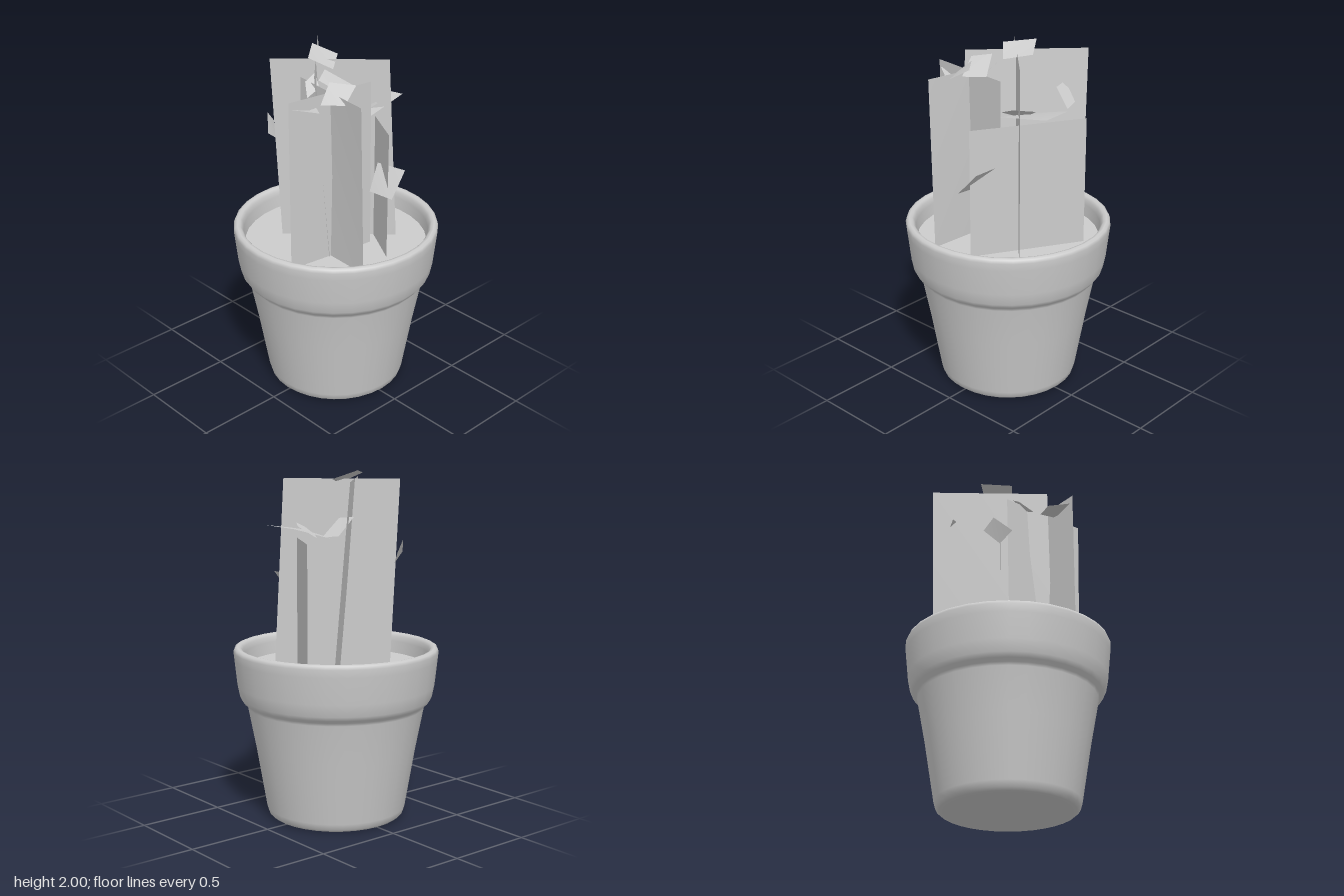
import * as THREE from 'three';

// Flat quad from four corners [x, y, z]
function quad(name, corners, material) {
  const g = new THREE.BufferGeometry();
  g.setAttribute('position', new THREE.Float32BufferAttribute(corners.flat(), 3));
  g.setIndex([0, 1, 2, 0, 2, 3]);
  g.computeVertexNormals();
  const m = new THREE.Mesh(g, material);
  m.name = name;
  return m;
}

export function createModel() {
  const model = new THREE.Group();
  model.name = 'pottedPlant';
  const clay = new THREE.MeshStandardMaterial({ color: 0xcccccc, side: THREE.DoubleSide });
  clay.name = 'plainGrey';

  // Pot: rounded foot, tapered body, thick rolled rim, inner wall
  const profile = [
    [0, 0.005], [0.34, 0.005], [0.375, 0.01], [0.393, 0.025], [0.403, 0.06],
    [0.46, 0.4], [0.508, 0.65], [0.515, 0.668], [0.535, 0.684], [0.552, 0.71],
    [0.566, 0.78], [0.582, 0.93], [0.587, 0.975], [0.58, 0.993], [0.565, 1.0],
    [0.548, 0.996], [0.535, 0.98], [0.53, 0.95], [0.522, 0.87],
  ].map(([x, y]) => new THREE.Vector2(x, y));
  const pot = new THREE.Mesh(new THREE.LatheGeometry(profile, 32), clay);
  pot.name = 'pot';
  model.add(pot);

  // Soil disc
  const soilY = 0.88;
  const soil = new THREE.Mesh(new THREE.CircleGeometry(0.525, 32).rotateX(-Math.PI / 2), clay);
  soil.position.y = soilY;
  soil.name = 'soil';
  model.add(soil);

  // Upright stem cards: base ends, top ends (x, z) and top height
  const stems = [
    [[-0.43, 0.10], [0.11, 0.17], [-0.43, 0.10], [0.10, 0.17], 1.86],
    [[-0.18, 0.41], [-0.15, -0.14], [-0.205, 0.405], [-0.13, -0.14], 1.86],
    [[-0.19, -0.25], [0.28, 0.21], [-0.22, -0.29], [0.24, 0.17], 1.95],
    [[-0.20, 0.16], [0.28, -0.32], [-0.24, 0.09], [0.235, -0.4], 1.95],
    [[0.05, 0.36], [0.38, -0.22], [0.05, 0.36], [0.38, -0.22], 1.62],
  ];
  const stemGroup = new THREE.Group();
  stemGroup.name = 'stems';
  for (const [a, b, c, d, h] of stems) {
    stemGroup.add(quad('stemCard', [
      [a[0], soilY, a[1]], [b[0], soilY, b[1]], [d[0], h, d[1]], [c[0], h, c[1]],
    ], clay));
  }
  model.add(stemGroup);

  // Small tilted leaves and petals
  const leaves = [
    [[-0.41, 1.82, 0.11], [-0.33, 1.79, 0], [-0.22, 1.80, 0.05], [-0.29, 1.79, 0.185]],
    [[-0.12, 1.98, -0.09], [0.02, 2.0, -0.21], [0.1, 1.95, -0.09], [-0.03, 1.92, 0.01]],
    [[-0.2, 1.92, 0.08], [-0.1, 1.94, 0.02], [-0.01, 1.86, 0.16], [-0.13, 1.85, 0.225]],
    [[-0.26, 1.82, 0.16], [-0.16, 1.91, 0.12], [-0.07, 1.90, 0.23], [-0.19, 1.83, 0.27]],
    [[0.09, 1.62, -0.07], [0.36, 1.69, -0.085], [0.39, 1.70, 0.13], [0.10, 1.66, 0.17]],
    [[0.13, 1.62, 0.01], [0.24, 1.69, 0.04], [0.17, 1.71, 0.15], [0.07, 1.67, 0.13]],
    [[0.02, 1.26, 0.25], [0.12, 1.39, 0.21], [0.14, 1.40, 0.4], [0.02, 1.27, 0.42]],
    [[0.14, 1.76, -0.32], [0.23, 1.66, -0.3], [0.26, 1.65, -0.2], [0.16, 1.75, -0.22]],
    [[-0.28, 1.54, -0.25], [-0.21, 1.62, -0.33], [-0.15, 1.55, -0.35], [-0.2, 1.48, -0.27]],
    [[-0.21, 1.80, 0], [-0.16, 1.86, -0.07], [-0.1, 1.90, -0.06], [-0.13, 1.84, 0.01]],
  ];
  const leafGroup = new THREE.Group();
  leafGroup.name = 'leaves';
  for (const corners of leaves) leafGroup.add(quad('leaf', [...corners].reverse(), clay));
  model.add(leafGroup);

  return model;
}
